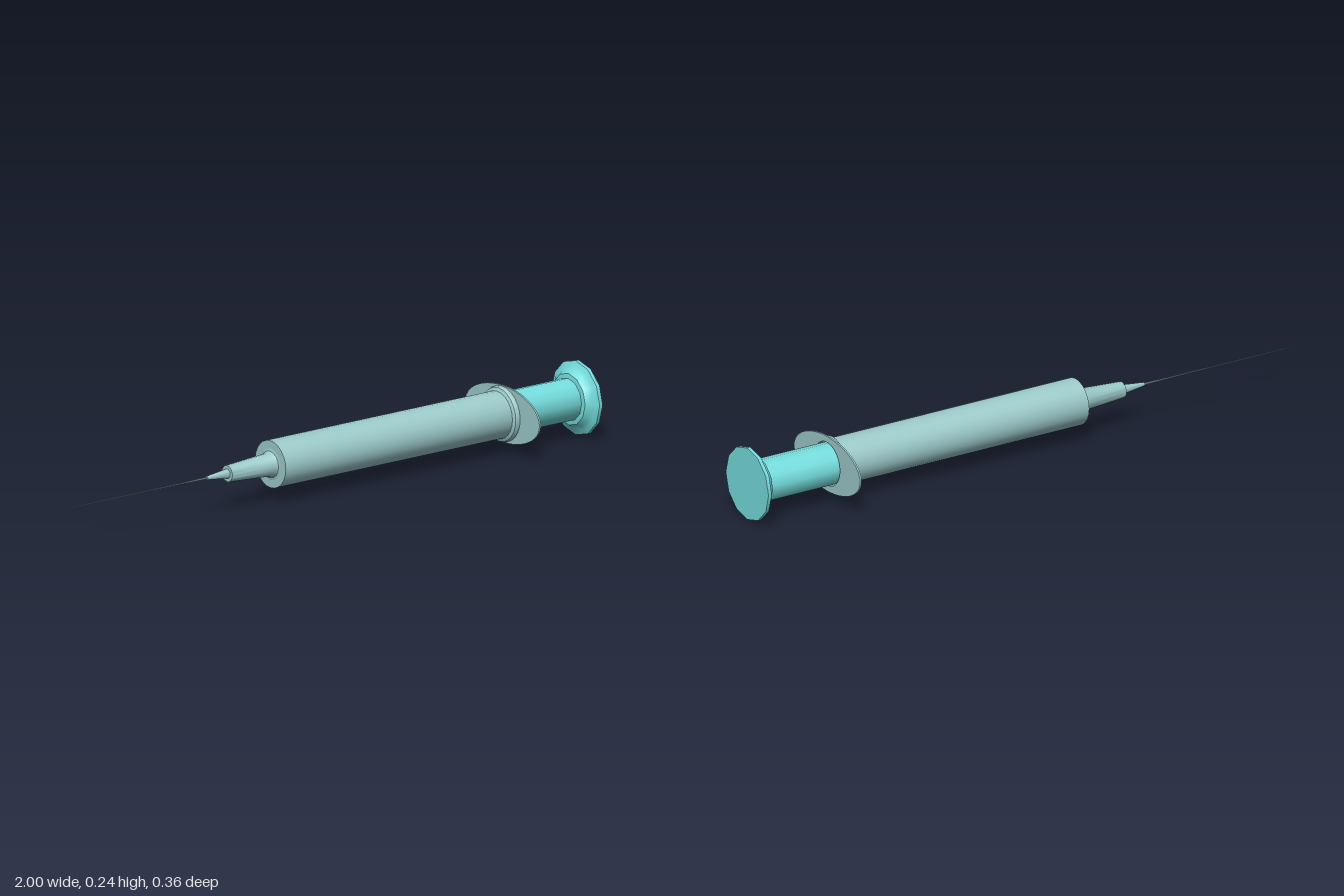
import * as THREE from 'three';
import { toCreasedNormals } from 'three/addons/utils/BufferGeometryUtils.js';

const AXIS_Y = 0.12;

export function createModel() {
  const model = new THREE.Group();
  const barrelMat = new THREE.MeshStandardMaterial({ color: 0x9ccaca });
  const plungerMat = new THREE.MeshStandardMaterial({ color: 0x76dede });

  const add = (name, geometry, material) => {
    const mesh = new THREE.Mesh(geometry, material);
    mesh.name = name;
    mesh.position.y = AXIS_Y;
    model.add(mesh);
  };
  // Turned part along x; profile is [x, radius] with x increasing
  const turned = (name, profile, sides, material) => {
    const points = profile.map(([x, r]) => new THREE.Vector2(r, x));
    const geometry = new THREE.LatheGeometry(points, sides).rotateZ(-Math.PI / 2);
    add(name, toCreasedNormals(geometry, 0.65), material);
  };

  // Long tapering needle
  turned('needle', [[-1, 0], [-0.98, 0.0008], [-0.55, 0.002], [-0.45, 0.004]], 8, barrelMat);

  // Stepped hub holding the needle
  turned('needleHub', [[-0.46, 0], [-0.46, 0.006], [-0.38, 0.015], [-0.38, 0.026],
    [-0.225, 0.036], [-0.212, 0.042], [-0.21, 0.05]], 16, barrelMat);

  // Hollow barrel with a rolled collar at its open end
  turned('barrel', [[-0.21, 0], [-0.21, 0.075], [0.68, 0.075], [0.685, 0.085],
    [0.692, 0.088], [0.705, 0.088], [0.705, 0.071]], 24, barrelMat);
  const bore = new THREE.CylinderGeometry(0.071, 0.071, 0.87, 24, 1, true);
  bore.rotateZ(-Math.PI / 2).translate(0.27, 0, 0);
  const boreMat = barrelMat.clone();
  boreMat.side = THREE.BackSide;
  add('barrelBore', bore, boreMat);

  // Thin oval finger flange with a hole for the plunger
  const oval = new THREE.Shape().absellipse(0, 0, 0.182, 0.09, 0, Math.PI * 2);
  oval.holes.push(new THREE.Path().absarc(0, 0, 0.071, 0, Math.PI * 2, true));
  const flange = new THREE.ExtrudeGeometry(oval, { depth: 0.006, bevelEnabled: false, curveSegments: 24 });
  flange.rotateY(Math.PI / 2).translate(0.7, 0, 0);
  add('fingerFlange', toCreasedNormals(flange, 0.65), barrelMat);

  // Plunger rod flaring into the thumb rest
  turned('plunger', [[-0.1, 0], [-0.1, 0.067], [0.958, 0.067], [0.96, 0.082],
    [0.972, 0.09], [0.982, 0.104], [0.988, 0.118], [1, 0.118], [1, 0]], 12, plungerMat);

  return model;
}
